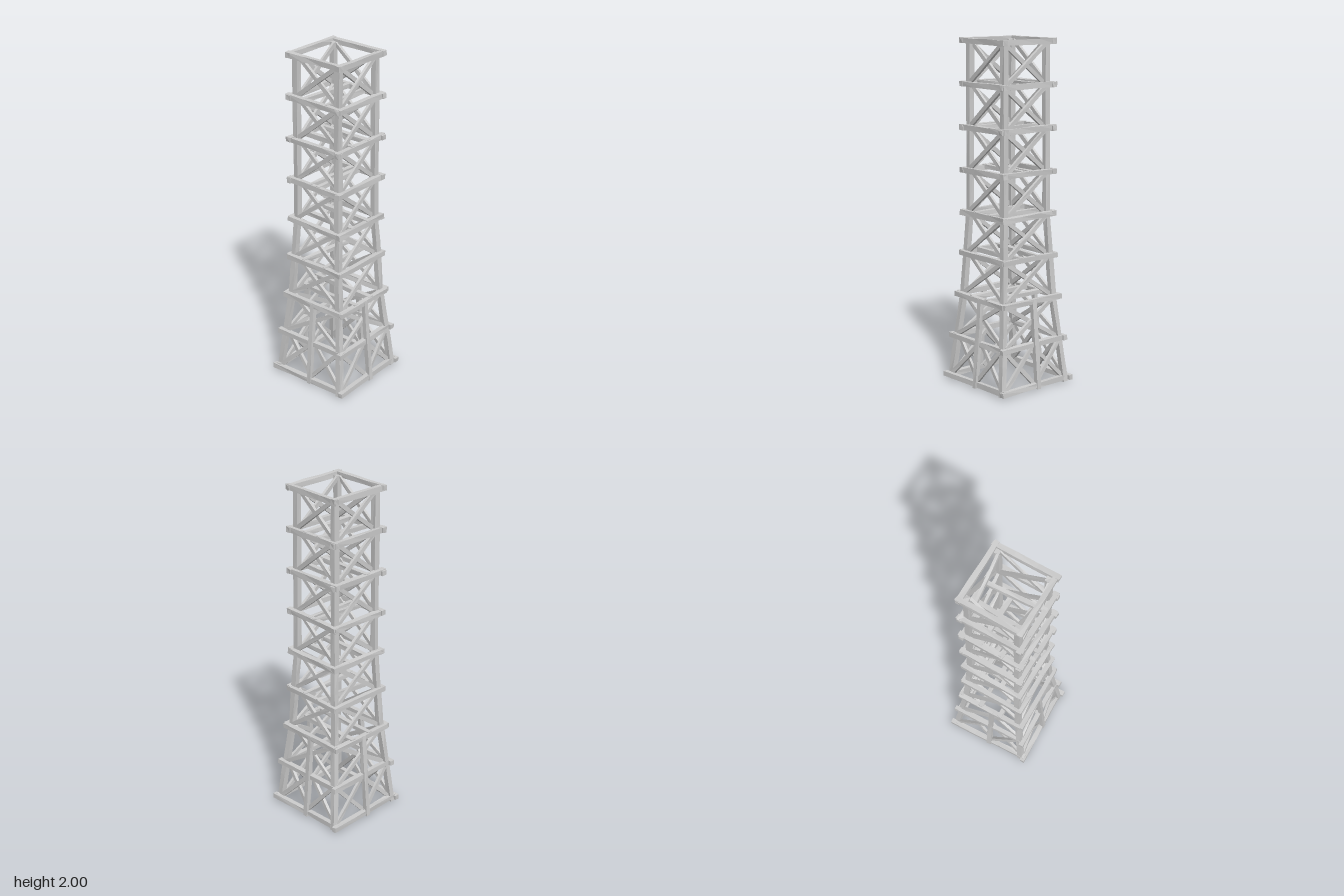
import * as THREE from 'three';

const material = new THREE.MeshStandardMaterial({ color: 0xcccccc, flatShading: true });
const V = (x, y, z) => new THREE.Vector3(x, y, z);

// Small seeded generator for the hand-hewn look, in -1..1
let seed = 7;
const rnd = () => {
  seed = (seed * 16807) % 2147483647;
  return (seed / 2147483647) * 2 - 1;
};

// Rough timber from a to b: w across, d along the outward direction
function timber(name, a, b, w, d, out = V(0, 0, 1), rough = 0.0025) {
  const dir = b.clone().sub(a);
  const geo = new THREE.BoxGeometry(w, dir.length(), d, 1, 3, 1);
  const pos = geo.attributes.position;
  const offsets = {};
  for (let i = 0; i < pos.count; i++) {
    const key = [pos.getX(i), pos.getY(i), pos.getZ(i)].map((n) => n.toFixed(4)).join();
    offsets[key] ??= [rnd() * rough, rnd() * rough, rnd() * rough];
    const [x, y, z] = offsets[key];
    pos.setXYZ(i, pos.getX(i) + x, pos.getY(i) + y, pos.getZ(i) + z);
  }
  const yAxis = dir.normalize();
  const xAxis = yAxis.clone().cross(out).normalize();
  const zAxis = xAxis.clone().cross(yAxis);
  geo.applyMatrix4(new THREE.Matrix4().makeBasis(xAxis, yAxis, zAxis));
  geo.translate((a.x + b.x) / 2, (a.y + b.y) / 2, (a.z + b.z) / 2);
  geo.computeVertexNormals();
  const mesh = new THREE.Mesh(geo, material);
  mesh.name = name;
  return mesh;
}

// Ring heights, and leg centre distance from the axis at each ring
const levels = [0.035, 0.275, 0.525, 0.77, 1.01, 1.255, 1.5, 1.745, 1.985];
const legAt = [0.232, 0.208, 0.181, 0.163, 0.155, 0.152, 0.15, 0.15, 0.15];
const ringHalf = [0.262, 0.242, 0.212, 0.2, 0.195, 0.198, 0.2, 0.198, 0.195];

// One side of the tower, built facing +z
function side() {
  const g = new THREE.Group();

  // Corner leg: splayed base, then nearly upright
  const legPoints = [
    V(-0.235, 0.012, 0.235), V(-0.181, 0.535, 0.181),
    V(-0.155, 1.01, 0.155), V(-0.15, 1.985, 0.15),
  ];
  for (let i = 0; i < 3; i++) {
    g.add(timber('leg', legPoints[i], legPoints[i + 1], 0.032, 0.032));
  }

  // Ring beams outside the legs, slightly turned at the base
  levels.forEach((y, i) => {
    const z = legAt[i] + (i < 2 ? 0.014 : 0.027);
    const turn = [0.015, 0.012, 0.006][i] ?? 0.002;
    const h = ringHalf[i];
    g.add(timber('ringBeam', V(-h, y + rnd() * 0.003, z + turn), V(h, y + rnd() * 0.003, z - turn), 0.029, 0.029));
  });

  // Crossed braces in each bay
  const cross = (x0, x1, i, w) => {
    const y0 = levels[i] + 0.008, y1 = levels[i + 1] - 0.008;
    const k = legAt[i + 1] / legAt[i];
    const z0 = legAt[i], z1 = legAt[i + 1];
    const out = V(0, 0, 1);
    g.add(timber('brace', V(x0, y0, z0 + 0.009), V(x1 * k, y1, z1 + 0.009), w, 0.016, out, 0.0015));
    g.add(timber('brace', V(x1, y0, z0 - 0.008), V(x0 * k, y1, z1 - 0.008), w, 0.016, out, 0.0015));
  };
  cross(-0.222, 0.005, 0, 0.024);
  cross(0.005, 0.222, 0, 0.024);
  for (let i = 1; i < 8; i++) cross(-legAt[i] + 0.008, legAt[i] - 0.008, i, 0.024);

  // Middle post of the base
  g.add(timber('middlePost', V(0.014, 0.015, 0.253), V(0.012, 0.535, 0.21), 0.027, 0.026));
  return g;
}

export function createModel() {
  seed = 7;
  const tower = new THREE.Group();
  tower.name = 'latticeTower';

  for (let i = 0; i < 4; i++) {
    const s = side();
    s.name = ['frontSide', 'leftSide', 'backSide', 'rightSide'][i];
    s.rotation.y = (i * Math.PI) / 2;
    tower.add(s);
  }

  // Pairs of floor joists inside the rings, alternating direction
  const floor = new THREE.Group();
  floor.name = 'floorJoists';
  for (let i = 2; i < 8; i++) {
    const y = levels[i] + 0.004;
    const h = legAt[i] + 0.035;
    for (const s of [-1, 1]) {
      if (i % 2) {
        const o = i === 5 ? 0.025 : 0.068;
        const skew = i === 5 ? 0.004 : 0.012;
        floor.add(timber('joist', V(-h, y, s * (o + skew)), V(h, y, s * (o - skew)), 0.026, 0.026, V(0, 1, 0)));
      } else {
        floor.add(timber('joist', V(s * 0.066, y, -h), V(s * 0.066, y, h), 0.028, 0.026, V(0, 1, 0)));
      }
    }
  }
  tower.add(floor);
  return tower;
}
